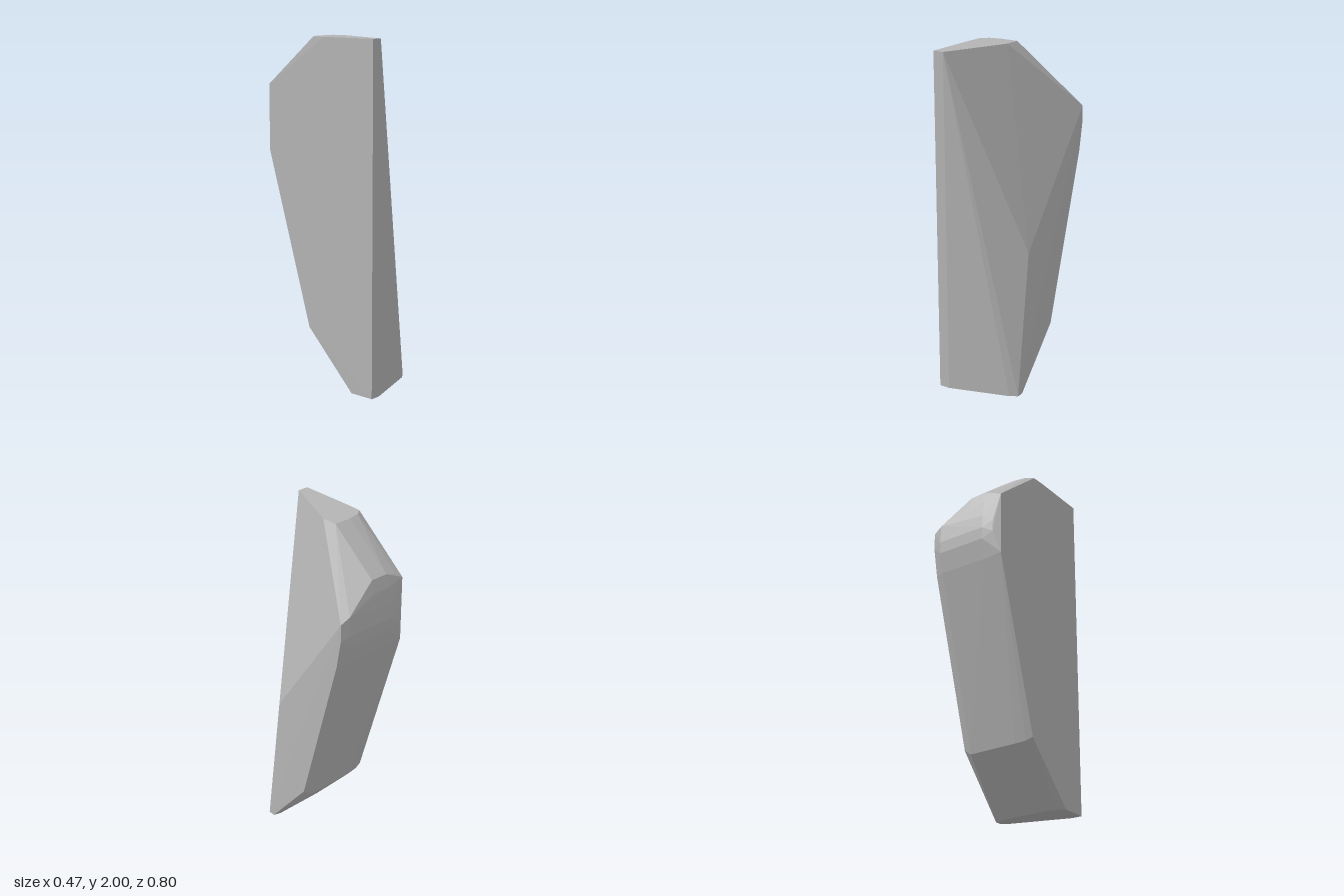
import * as THREE from 'three';
import { ConvexGeometry } from 'three/addons/geometries/ConvexGeometry.js';

// Vertical sections across the rounded back: x, then [y, z] from top to bottom
const backSections = [
  { x: -0.232, points: [[2, -0.03], [1.72, -0.372], [1.34, -0.372], [0.33, -0.07], [0, 0.25]] },
  { x: -0.19, points: [[2, -0.062], [1.75, -0.358], [1.7, -0.372], [1.55, -0.392], [1.48, -0.393],
    [1.33, -0.365], [0.315, -0.077], [0, 0.22]] },
  { x: -0.12, points: [[2, -0.075], [1.77, -0.36], [1.7, -0.38], [1.6, -0.396], [1.52, -0.402],
    [1.45, -0.398], [1.33, -0.373], [0.31, -0.083], [0, 0.207]] },
  { x: -0.013, points: [[2, -0.075], [1.77, -0.36], [1.7, -0.38], [1.6, -0.396]] },
  { x: 0.18, points: [[1.63, -0.395], [1.52, -0.402], [1.45, -0.398], [1.33, -0.373],
    [0.31, -0.083], [0, 0.207]] },
  { x: 0.235, points: [[1.6, -0.385], [1.5, -0.386], [1.33, -0.355]] },
  { x: 0.23, points: [[0.345, -0.072]] },
  { x: 0.223, points: [[0, 0.22]] },
];

// Corners of the flat front, the slanted shoulder and the side ridge
const frontCorners = [
  [-0.236, 2, 0.402], [-0.236, 0, 0.402], [-0.236, 2, 0.05],
  [-0.172, 2, 0.402], [-0.172, 0, 0.402],
  [-0.013, 2, 0.022],
  [0.218, 0.85, 0.15],
  [0.18, 0, 0.29], [0.223, 0, 0.262],
];

export function createModel() {
  const group = new THREE.Group();
  group.name = 'facetedBlock';
  const grey = new THREE.MeshStandardMaterial({ color: 0xb4b4b4 });
  grey.name = 'grey';

  const points = frontCorners.map((p) => new THREE.Vector3(...p));
  for (const { x, points: section } of backSections) {
    for (const [y, z] of section) points.push(new THREE.Vector3(x, y, z));
  }

  // One convex faceted body spans all the sections
  const body = new THREE.Mesh(new ConvexGeometry(points), grey);
  body.name = 'body';
  group.add(body);
  return group;
}
